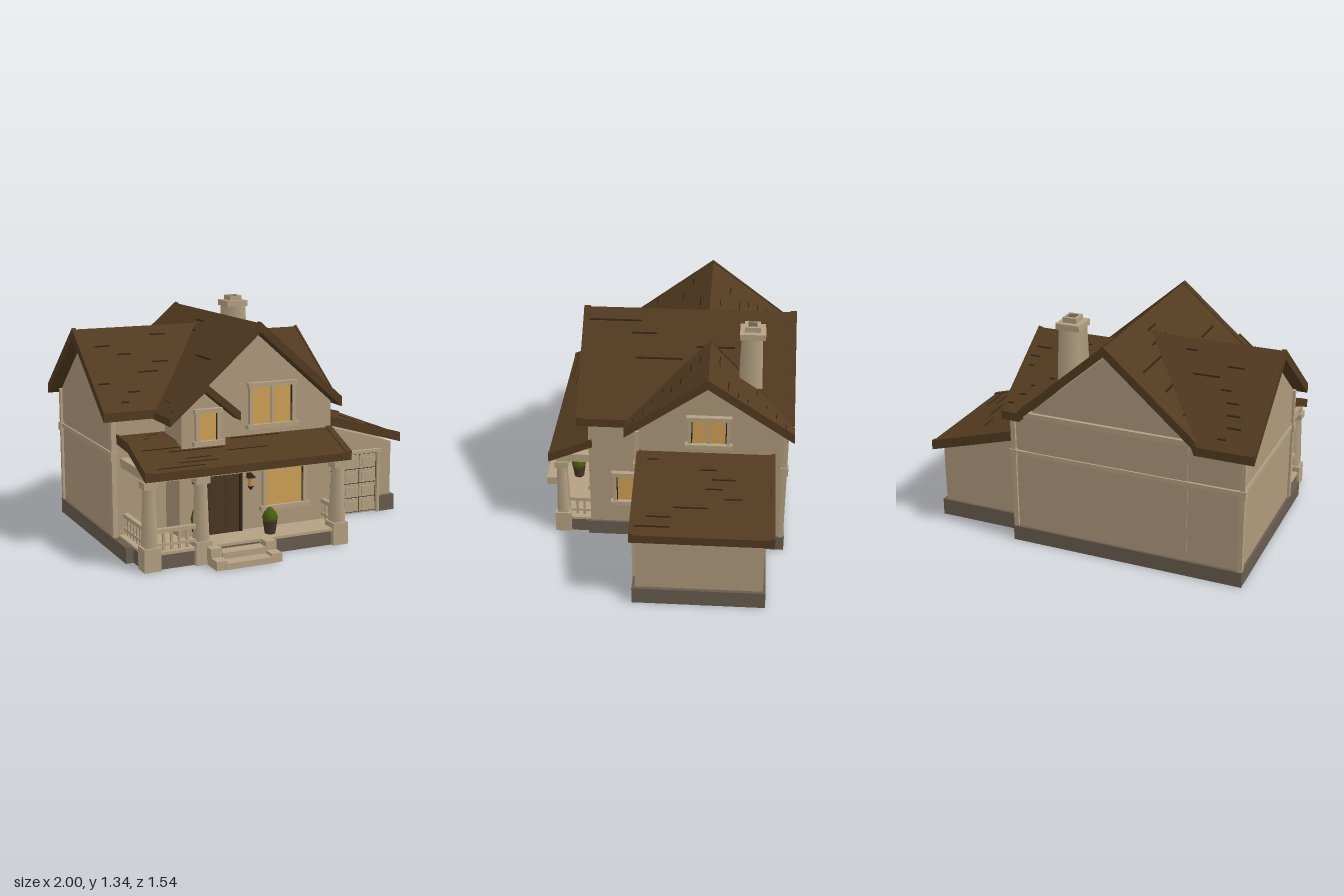
import * as THREE from 'three';
import { ConvexGeometry } from 'three/addons/geometries/ConvexGeometry.js';

const mat = (name, color) => {
  const m = new THREE.MeshStandardMaterial({ color });
  m.name = name;
  return m;
};

export function createModel() {
  const M = {
    wall: mat('plaster', 0xae997b), trim: mat('paleTrim', 0xb5a183), roof: mat('roofBrown', 0x523a20),
    gap: mat('darkGap', 0x2e2114), stone: mat('foundationStone', 0x685c4e), glass: mat('warmGlass', 0xcfa055),
    door: mat('doorWood', 0x4b3620), leaf: mat('leafGreen', 0x4c5d10), pot: mat('potClay', 0x46372a),
  };
  const root = new THREE.Group();
  root.name = 'house';

  const add = (name, geo, m, parent = root) => {
    const mesh = new THREE.Mesh(geo, m);
    mesh.name = name;
    parent.add(mesh);
    return mesh;
  };
  // Box given by its limits on each axis
  const box = (name, m, x0, x1, y0, y1, z0, z1, parent = root) => {
    const b = add(name, new THREE.BoxGeometry(x1 - x0, y1 - y0, z1 - z0), m, parent);
    b.position.set((x0 + x1) / 2, (y0 + y1) / 2, (z0 + z1) / 2);
    return b;
  };
  // Profile in x,y pushed from z0 to z1
  const extrude = (name, m, pts, z0, z1) => {
    const shape = new THREE.Shape(pts.map(p => new THREE.Vector2(...p)));
    const g = new THREE.ExtrudeGeometry(shape, { depth: z1 - z0, bevelEnabled: false });
    return add(name, g.translate(0, 0, z0), m);
  };
  // Profile in z,y pushed from x0 to x1
  const extrudeX = (name, m, pts, x0, x1) => {
    const mesh = extrude(name, m, pts.map(([z, y]) => [-z, y]), x0, x1);
    mesh.geometry.rotateY(Math.PI / 2);
    return mesh;
  };

  let seed = 7;
  const rand = () => (seed = (seed * 16807) % 2147483647) / 2147483647;
  // Roof plane: corners a,b along the ridge and c,d along the eave (c below b)
  const slope = (name, a, b, c, d, t = 0.05, courses = 9) => {
    const P = [a, b, c, d].map(p => new THREE.Vector3(...p));
    const slab = (n, m, pts, h) => add(n, new ConvexGeometry(
      [...pts, ...pts.map(p => p.clone().setY(p.y - h))]), m);
    slab(name, M.roof, P, t);
    const at = (u, v) => P[0].clone().lerp(P[1], u).lerp(P[3].clone().lerp(P[2], u), v);
    // Scattered dark gaps between the shingle courses
    for (let i = 1; i < courses; i++) {
      const v = i / courses, u = 0.03 + rand() * 0.7, w = 0.08 + rand() * 0.18;
      const q = [at(u, v), at(u + w, v), at(u + w, v + 0.012), at(u, v + 0.012)];
      q.forEach(p => { p.y += 0.003; });
      slab('shingleGap', M.gap, q, 0.006);
    }
    // Raised boards along both sloping edges
    for (const [u0, u1] of [[0, 0.03], [0.97, 1]]) {
      const q = [at(u0, 0), at(u1, 0), at(u1, 1), at(u0, 1)];
      q.forEach(p => { p.y += 0.008; });
      slab('edgeShingles', M.roof, q, 0.02);
    }
  };

  // House walls
  extrude('mainWalls', M.wall, [[-0.62, 0], [0.33, 0], [0.33, 0.8], [-0.15, 1.22], [-0.62, 0.81]], -0.72, 0.42);
  extrudeX('rightWingWalls', M.wall, [[-0.715, 0], [0.22, 0], [0.22, 0.79], [-0.25, 1.155], [-0.715, 0.79]], -0.93, -0.2);
  extrudeX('leftWingWalls', M.wall, [[-0.715, 0], [0.13, 0], [0.13, 0.81], [-0.27, 1.1], [-0.715, 0.79]], 0, 0.42);
  extrude('garageWalls', M.wall, [[0.4, 0], [0.95, 0], [0.95, 0.44], [0.4, 0.6]], -0.61, 0.1);
  extrude('dormerWalls', M.wall, [[-0.63, 0.58], [-0.37, 0.58], [-0.37, 0.81], [-0.5, 0.92], [-0.63, 0.81]], 0.25, 0.485);

  // Foundations
  box('mainFoundation', M.stone, -0.945, 0.435, 0, 0.09, -0.735, 0.14);
  box('frontFoundation', M.stone, -0.945, 0.345, 0, 0.09, 0.1, 0.435);
  box('garageFoundation', M.stone, 0.86, 0.97, 0, 0.1, -0.625, 0.12);
  box('garageBackFoundation', M.stone, 0.42, 0.97, 0, 0.1, -0.625, -0.5);

  // Wall bands and corner boards
  box('backBand', M.trim, -0.94, 0.43, 0.55, 0.575, -0.73, -0.7);
  box('backGableBand', M.trim, -0.66, 0.4, 0.79, 0.82, -0.74, -0.7);
  box('sideBand', M.trim, -0.94, -0.92, 0.55, 0.575, -0.73, 0.23);
  for (const [x, z] of [[0.42, 0.13], [0.42, -0.715], [-0.93, -0.715], [-0.93, 0.22]]) {
    box('cornerBoard', M.trim, x - 0.014, x + 0.014, 0.09, 0.79, z - 0.014, z + 0.014);
    box('cornerBoardCap', M.trim, x - 0.021, x + 0.021, 0.53, 0.58, z - 0.021, z + 0.021);
  }

  // Main cross roof
  slope('mainRoofLeft', [-0.15, 1.28, 0.48], [-0.15, 1.28, -0.76], [0.37, 0.825, -0.76], [0.37, 0.825, 0.48]);
  slope('mainRoofRight', [-0.15, 1.28, 0.48], [-0.15, 1.28, -0.76], [-0.68, 0.82, -0.76], [-0.68, 0.82, 0.48]);
  // Wing roofs, cut along the valleys
  for (const z of [0.28, -0.77])
    slope('rightWingRoof', [-1, 1.21, -0.25], [-0.22, 1.21, -0.25], [-0.67, 0.81, z], [-1, 0.81, z]);
  for (const z of [0.2, -0.76])
    slope('leftWingRoof', [0.47, 1.15, -0.27], [-0.01, 1.15, -0.27], [0.36, 0.82, z], [0.47, 0.82, z]);
  // Dormer, garage and porch roofs
  for (const x of [-0.71, -0.29])
    slope('dormerRoof', [-0.5, 0.97, 0.52], [-0.5, 0.97, 0.26], [x, 0.795, 0.26], [x, 0.795, 0.52], 0.04, 3);
  slope('garageRoof', [0.41, 0.66, 0.13], [0.41, 0.66, -0.66], [1, 0.49, -0.66], [1, 0.49, 0.13]);
  slope('porchRoof', [-0.91, 0.655, 0.4], [0.335, 0.655, 0.4], [0.335, 0.545, 0.66], [-0.91, 0.545, 0.66], 0.045, 8);
  slope('porchRoofBack', [-0.91, 0.67, 0.2], [-0.6, 0.67, 0.2], [-0.6, 0.655, 0.4], [-0.91, 0.655, 0.4], 0.045, 3);

  // Chimney
  const shaft = add('chimneyShaft', new THREE.CylinderGeometry(0.083, 0.099, 0.38, 4, 1).rotateY(Math.PI / 4), M.trim);
  shaft.position.set(0.14, 1.09, -0.505);
  box('chimneyCap', M.trim, 0.07, 0.21, 1.275, 1.31, -0.58, -0.435);
  box('chimneyCrown', M.trim, 0.1, 0.18, 1.31, 1.34, -0.55, -0.46);
  box('chimneyFlue', M.stone, 0.115, 0.165, 1.335, 1.342, -0.53, -0.48);

  // Windows: built facing +z around their own centre
  const windowAt = (name, w, h, x, y, z, turn = 0, split = true) => {
    const g = new THREE.Group();
    g.name = name;
    const a = w / 2, b = h / 2, f = 0.02;
    box('glass', M.glass, -a, a, -b, b, 0, 0.009, g);
    for (const s of [-1, 1]) {
      box('sideFrame', M.trim, s * a - f / 2, s * a + f / 2, -b, b, 0, 0.025, g);
      box('shadowLine', M.gap, s * (a - 0.013) - 0.003, s * (a - 0.013) + 0.003, -b, b, 0, 0.012, g);
    }
    box('topFrame', M.trim, -a - 0.018, a + 0.018, b - 0.01, b + 0.015, 0, 0.03, g);
    box('sill', M.trim, -a - 0.025, a + 0.025, -b - 0.018, -b + 0.008, 0, 0.035, g);
    if (split) box('mullion', M.trim, -0.008, 0.008, -b, b, 0, 0.018, g);
    g.position.set(x, y, z);
    g.rotation.y = turn;
    root.add(g);
  };
  windowAt('upperWindow', 0.27, 0.23, -0.055, 0.815, 0.42);
  windowAt('porchWindow', 0.26, 0.23, 0.025, 0.335, 0.42, 0, false);
  windowAt('dormerWindow', 0.13, 0.17, -0.48, 0.735, 0.485, 0, false);
  windowAt('gableWindow', 0.22, 0.17, 0.42, 0.805, -0.28, Math.PI / 2);
  windowAt('sideWindow', 0.13, 0.19, 0.33, 0.34, 0.205, Math.PI / 2, false);

  // Front door
  box('frontDoor', M.door, -0.475, -0.265, 0.1, 0.455, 0.42, 0.44);
  for (const x of [-0.42, -0.32])
    for (const y of [0.2, 0.36]) box('doorPanel', M.door, x - 0.03, x + 0.03, y - 0.06, y + 0.06, 0.44, 0.447);
  for (const x of [-0.485, -0.255]) box('doorFrame', M.gap, x - 0.008, x + 0.008, 0.1, 0.465, 0.42, 0.445);
  box('doorHead', M.gap, -0.49, -0.25, 0.455, 0.465, 0.42, 0.446);

  // Garage door
  box('garageDoorGap', M.gap, 0.475, 0.84, 0.01, 0.385, 0.1, 0.105);
  for (let r = 0; r < 4; r++)
    for (let c = 0; c < 3; c++) {
      const x = 0.482 + c * 0.119, y = 0.015 + r * 0.092;
      box('garageDoorPanel', M.trim, x, x + 0.113, y, y + 0.086, 0.1, 0.112);
      box('garagePanelRaise', M.trim, x + 0.015, x + 0.098, y + 0.018, y + 0.068, 0.11, 0.119);
    }
  for (const x of [0.46, 0.84]) box('garageDoorPost', M.trim, x, x + 0.02, 0, 0.4, 0.1, 0.125);
  box('garageDoorHead', M.trim, 0.45, 0.87, 0.385, 0.405, 0.1, 0.128);

  // Porch floor, beams and steps
  box('porchBase', M.stone, -0.9, 0.32, 0, 0.085, 0.2, 0.61);
  box('porchFloor', M.trim, -0.905, 0.325, 0.085, 0.1, 0.2, 0.625);
  box('porchBeam', M.trim, -0.895, 0.315, 0.485, 0.53, 0.56, 0.62);
  for (const [x, z] of [[-0.865, 0.22], [0.285, 0.42]]) box('sideBeam', M.trim, x - 0.025, x + 0.025, 0.49, 0.54, z, 0.6);
  box('upperStep', M.trim, -0.48, -0.22, 0, 0.07, 0.6, 0.69);
  box('lowerStep', M.trim, -0.5, -0.2, 0, 0.035, 0.68, 0.77);
  for (const x of [-0.55, -0.22]) {
    box('stepCheek', M.trim, x, x + 0.065, 0, 0.1, 0.6, 0.69);
    box('stepCheekEnd', M.trim, x, x + 0.065, 0, 0.05, 0.69, 0.765);
  }

  // Porch columns
  for (const x of [-0.865, -0.565, 0.285]) {
    box('columnFoot', M.trim, x - 0.048, x + 0.048, 0, 0.13, 0.54, 0.636);
    const s = add('column', new THREE.CylinderGeometry(0.037, 0.05, 0.33, 4, 1).rotateY(Math.PI / 4), M.trim);
    s.position.set(x, 0.29, 0.588);
    box('columnCap', M.trim, x - 0.04, x + 0.04, 0.45, 0.49, 0.548, 0.628);
  }

  // Railings between two points
  const railing = (x0, z0, x1, z1) => {
    const g = new THREE.Group(), len = Math.hypot(x1 - x0, z1 - z0);
    g.name = 'railing';
    box('topRail', M.trim, 0, len, 0.2, 0.222, -0.014, 0.014, g);
    box('bottomRail', M.trim, 0, len, 0.125, 0.14, -0.01, 0.01, g);
    const n = Math.round(len / 0.045);
    for (let i = 1; i < n; i++) box('baluster', M.trim, len * i / n - 0.007, len * i / n + 0.007, 0.1, 0.205, -0.007, 0.007, g);
    g.position.set(x0, 0, z0);
    g.rotation.y = -Math.atan2(z1 - z0, x1 - x0);
    root.add(g);
  };
  railing(-0.83, 0.588, -0.6, 0.588);
  railing(-0.865, 0.22, -0.865, 0.55);
  railing(0.285, 0.42, 0.285, 0.55);

  // Wall lanterns
  for (const x of [-0.53, -0.2]) {
    box('lanternBracket', M.gap, x - 0.008, x + 0.008, 0.4, 0.43, 0.42, 0.455);
    add('lanternGlass', new THREE.CylinderGeometry(0.02, 0.014, 0.05, 6), M.glass).position.set(x, 0.385, 0.455);
    add('lanternRoof', new THREE.ConeGeometry(0.03, 0.03, 6), M.gap).position.set(x, 0.425, 0.455);
    add('lanternFoot', new THREE.CylinderGeometry(0.018, 0.006, 0.02, 6), M.gap).position.set(x, 0.35, 0.455);
  }

  // Potted shrubs
  for (const [x, z, top] of [[-0.535, 0.49, 0.32], [-0.125, 0.55, 0.255]]) {
    add('pot', new THREE.CylinderGeometry(0.042, 0.03, 0.075, 10), M.pot).position.set(x, 0.137, z);
    const h = top - 0.16;
    const prof = [[0, 0], [0.036, 0.08], [0.046, 0.35], [0.034, 0.65], [0.015, 0.9], [0, 1]];
    add('shrub', new THREE.LatheGeometry(prof.map(([r, y]) => new THREE.Vector2(r, y * h)), 12), M.leaf).position.set(x, 0.16, z);
  }
  return root;
}
